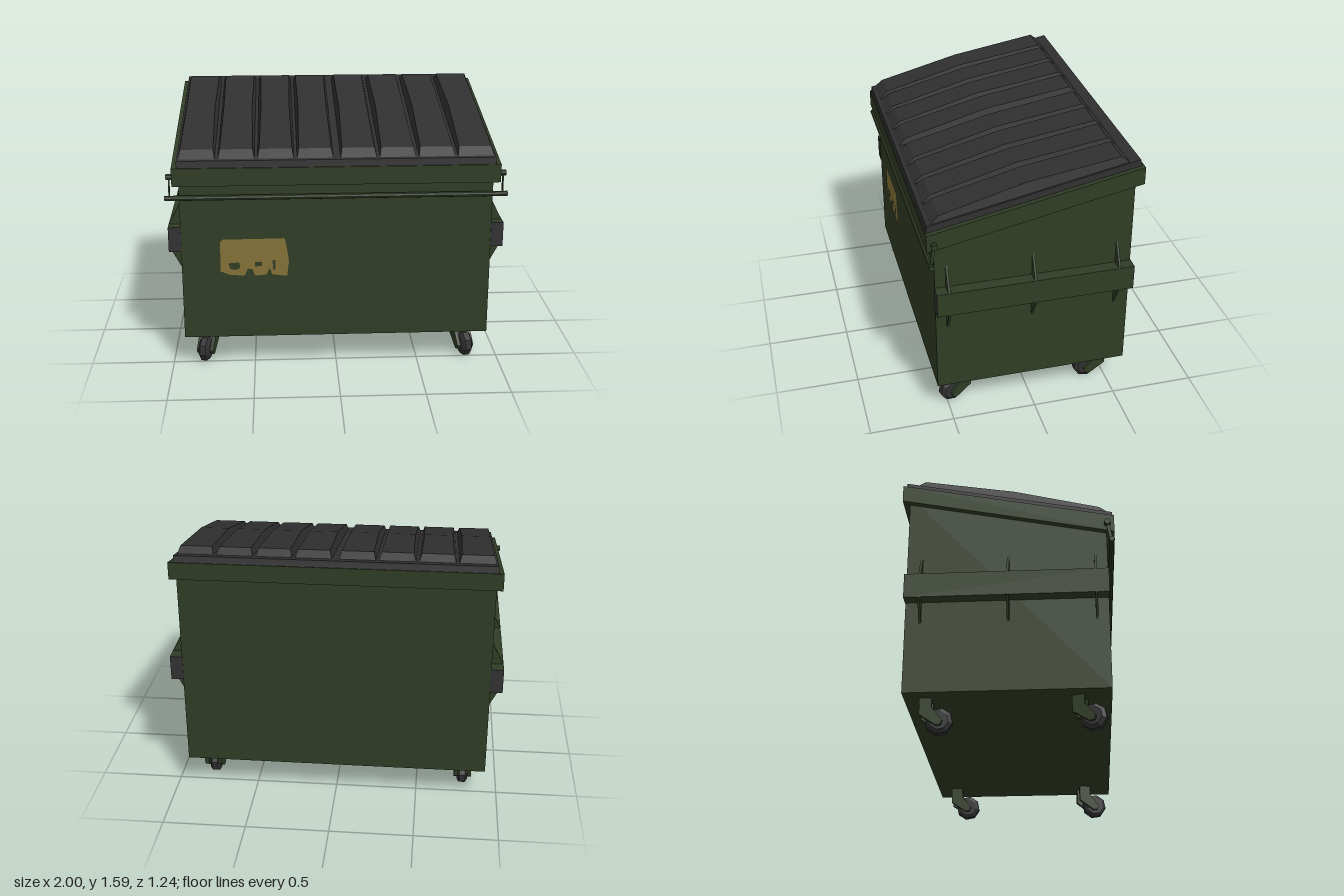
import * as THREE from 'three';

const mat = (name, color) => {
  const m = new THREE.MeshStandardMaterial({ color });
  m.name = name;
  m.flatShading = true;
  return m;
};

export function createModel() {
  const green = mat('dark green paint', 0x303d25);
  const black = mat('black plastic', 0x303031);
  const grey = mat('grey rubber', 0x323234);
  const tan = mat('faded sticker', 0x857238);
  const root = new THREE.Group();
  root.name = 'wheeledBin';

  const add = (name, geo, material, x = 0, y = 0, z = 0, parent = root) => {
    const m = new THREE.Mesh(geo, material);
    m.name = name;
    m.position.set(x, y, z);
    parent.add(m);
    return m;
  };
  const shapeOf = pts => new THREE.Shape(pts.map(p => new THREE.Vector2(p[0], p[1])));
  // Side profile given as [z, y], extruded across x and centred
  const across = (pts, width) =>
    new THREE.ExtrudeGeometry(shapeOf(pts), { depth: width, bevelEnabled: false })
      .translate(0, 0, -width / 2).rotateY(-Math.PI / 2);
  // Height of the sloping rim top at depth z
  const slope = z => 1.401 - 0.2045 * z;

  // Tank and sloping rim
  add('body', across([[0.575, 0.2], [0.575, slope(0.575) - 0.05], [-0.58, slope(-0.58) - 0.05], [-0.58, 0.2]], 1.84), green);
  add('rim', across([[0.62, slope(0.62) - 0.107], [0.62, slope(0.62)], [-0.62, slope(-0.62)], [-0.62, slope(-0.62) - 0.104]], 1.91), green);

  // Lid slab with eight raised, tapered panels
  add('lid', across([[0.615, slope(0.615)], [0.61, slope(0.61) + 0.04], [-0.6, slope(-0.6) + 0.04], [-0.61, slope(-0.61)]], 1.85), black);
  const stations = [[0.59, 0], [0.54, 0.036], [0.04, 0.067], [-0.495, 0.045], [-0.54, 0]];
  const panelGeo = across(stations.map(([z, h]) => [z, slope(z) + 0.039 + h]), 0.21);
  const pos = panelGeo.attributes.position;
  for (let i = 0; i < pos.count; i++) {
    const raised = pos.getY(i) - slope(pos.getZ(i)) - 0.039;
    pos.setX(i, pos.getX(i) * (1 - 2.6 * Math.max(0, raised)));
  }
  panelGeo.computeVertexNormals();
  for (const s of [-1, 1])
    for (let i = 0; i < 4; i++) add('lidPanel', panelGeo, black, s * (0.126 + i * 0.228));

  // Side lifting pockets, gussets and locking-bar arms
  for (const s of [-1, 1]) {
    add('liftPocket', new THREE.BoxGeometry(0.075, 0.15, 1.15), green, s * 0.955, 0.83, -0.002);
    for (const z of [0.575, -0.58])
      add('pocketEnd', new THREE.BoxGeometry(0.075, 0.15, 0.006), grey, s * 0.955, 0.83, z);
    for (const [tip, edge] of [[1.045, 0.905], [0.62, 0.755]]) {
      const geo = new THREE.ExtrudeGeometry(
        shapeOf([[s * 0.919, edge], [s * 0.99, edge], [s * 0.919, tip]]),
        { depth: 0.014, bevelEnabled: false });
      for (const z of [0.505, 0.005, -0.495]) add('gusset', geo, green, 0, 0, z - 0.007);
    }
    add('barPivot', new THREE.CylinderGeometry(0.018, 0.018, 0.05, 8).rotateZ(Math.PI / 2), green, s * 0.965, 1.215, 0.58);
    const arm = add('barArm', new THREE.BoxGeometry(0.008, 0.13, 0.018), green, s * 0.972, 1.153, 0.591);
    arm.rotation.x = -0.17;
  }
  add('lockingBar', new THREE.CylinderGeometry(0.016, 0.016, 2, 8).rotateZ(Math.PI / 2), green, 0, 1.093, 0.602);

  // Casters: two fork plates and a bevelled eight-sided wheel
  const forkGeo = across([[-0.035, 0.201], [-0.035, 0.105], [0.06, 0.04], [0.085, 0.045], [0.095, 0.07], [0.035, 0.145], [0.035, 0.201]], 0.024);
  const wheelGeo = new THREE.LatheGeometry(
    [[0, -0.032], [0.055, -0.032], [0.077, -0.018], [0.077, 0.018], [0.055, 0.032], [0, 0.032]]
      .map(p => new THREE.Vector2(p[0], p[1])), 8).rotateZ(Math.PI / 2).rotateX(0.2);
  for (const s of [-1, 1])
    for (const [z, yaw] of [[0.4, 0.24], [-0.457, 0]]) {
      const caster = new THREE.Group();
      caster.name = 'caster';
      caster.position.set(s * 0.787, 0, z);
      caster.rotation.y = s * yaw;
      root.add(caster);
      for (const side of [-1, 1]) add('casterFork', forkGeo, green, side * 0.041, 0, 0, caster);
      add('casterWheel', wheelGeo, grey, 0, 0.076, 0.073, caster);
    }

  // Worn sticker with torn lower edge
  const sticker = shapeOf([
    [-0.69, 0.81], [-0.675, 0.825], [-0.31, 0.828], [-0.3, 0.79], [-0.29, 0.72], [-0.285, 0.68],
    [-0.297, 0.59], [-0.385, 0.6], [-0.4, 0.64], [-0.42, 0.6], [-0.488, 0.595], [-0.503, 0.635],
    [-0.53, 0.64], [-0.55, 0.595], [-0.64, 0.603], [-0.692, 0.625]]);
  for (const hole of [
    [[-0.645, 0.675], [-0.58, 0.68], [-0.575, 0.645], [-0.6, 0.632], [-0.635, 0.64]],
    [[-0.488, 0.68], [-0.445, 0.682], [-0.447, 0.655], [-0.486, 0.652]],
    [[-0.383, 0.69], [-0.365, 0.69], [-0.365, 0.63], [-0.38, 0.63]]])
    sticker.holes.push(new THREE.Path(hole.map(p => new THREE.Vector2(p[0], p[1]))));
  add('sticker', new THREE.ShapeGeometry(sticker), tan, 0, 0, 0.578);

  return root;
}
